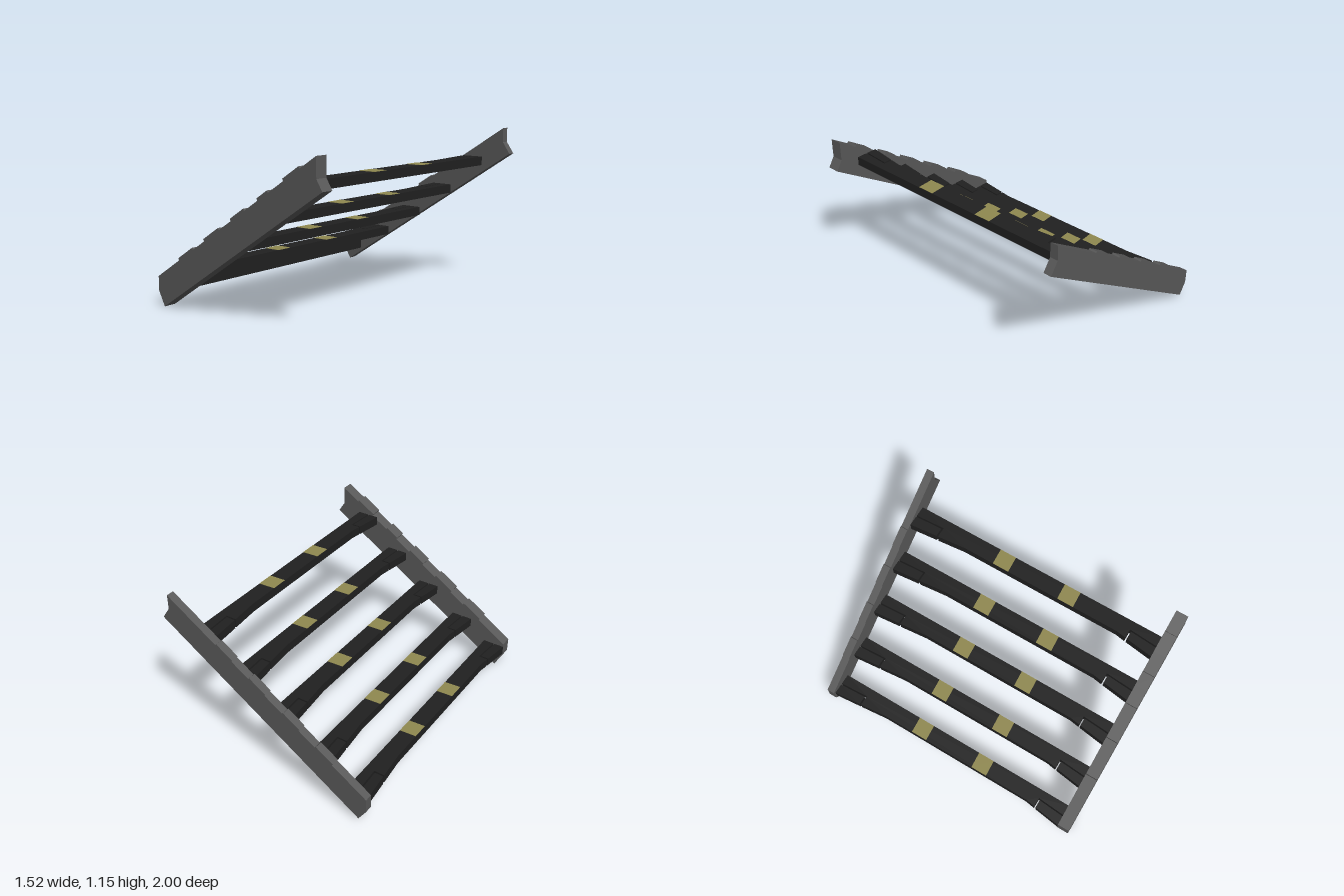
import * as THREE from 'three';

const material = (color) => new THREE.MeshStandardMaterial({ color, flatShading: true });

// Extrude an outline; flat = true lays an (x, z) plan down and extrudes it upwards
function prism(name, points, depth, mat, flat = false) {
  const shape = new THREE.Shape(points.map(([a, b]) => new THREE.Vector2(a, flat ? -b : b)));
  const geometry = new THREE.ExtrudeGeometry(shape, { depth, bevelEnabled: false });
  if (flat) geometry.rotateX(-Math.PI / 2);
  const mesh = new THREE.Mesh(geometry, mat);
  mesh.name = name;
  return mesh;
}

// Sloping side board whose top edge carries shallow raised steps
function sideBoard(name, start, end, lower, steps, rise, z, depth, mat) {
  const slope = (end[1] - start[1]) / (end[0] - start[0]);
  const topAt = (x) => start[1] + (x - start[0]) * slope;
  const points = [...lower, end];
  for (const [a, b] of [...steps].reverse()) {
    points.push([b + 0.008, topAt(b + 0.008)], [b, topAt(b) + rise]);
    points.push([a, topAt(a) + rise], [a + 0.008, topAt(a + 0.008)]);
  }
  points.push(start);
  const board = prism(name, points, depth, mat);
  board.position.z = z;
  return board;
}

export function createModel() {
  const model = new THREE.Group();
  const boardMat = material(0x585858);
  const treadMat = material(0x202020);
  const stripeMat = material(0x8f8850);

  // Side boards
  model.add(sideBoard('frontSideBoard', [-0.75, 0.2], [0.675, 1.1],
    [[-0.75, 0.1], [-0.695, 0], [0.72, 0.9], [0.675, 0.97]],
    [[-0.54, -0.4], [-0.29, -0.15], [-0.04, 0.08], [0.195, 0.285], [0.41, 0.54]],
    0.018, 0.915, 0.085, boardMat));
  model.add(sideBoard('backSideBoard', [-0.765, 0.2], [0.705, 1.15],
    [[-0.765, 0.1], [-0.71, 0.015], [0.76, 0.97], [0.705, 1.05]],
    [[-0.525, -0.4], [-0.28, -0.16], [-0.03, 0.09], [0.215, 0.335]],
    0.013, -1, 0.055, boardMat));

  // Treads: plan with flared ends and a narrow gap around each corner piece
  const height = 0.062;
  const treadPlan = [
    [0.117, -0.945], [0.117, 0.915], [0.04, 0.915], [0.056, 0.71], [-0.011, 0.71],
    [0, 0.64], [0, -0.53], [-0.02, -0.735], [0.054, -0.735], [0.042, -0.945],
  ];
  const corners = {
    backCorner: [[-0.04, -0.945], [0.032, -0.945], [0.042, -0.747], [-0.021, -0.747]],
    frontCorner: [[-0.013, 0.722], [0.045, 0.722], [0.03, 0.915], [-0.04, 0.915]],
  };

  const places = [[-0.71, 0.115], [-0.43, 0.263], [-0.13, 0.448], [0.152, 0.648], [0.417, 0.874]];
  places.forEach(([x, y], i) => {
    const tread = new THREE.Group();
    tread.name = `tread${i + 1}`;
    tread.add(prism('treadBody', treadPlan, height, treadMat, true));
    for (const [name, plan] of Object.entries(corners)) {
      tread.add(prism(name, plan, height, treadMat, true));
    }
    // Slightly slanted warning stripes on top
    for (const z of [-0.31, 0.19]) {
      const plan = [[0, z], [0, z + 0.12], [0.117, z + 0.113], [0.117, z - 0.007]];
      const stripe = prism('stripe', plan, 0.002, stripeMat, true);
      stripe.position.y = height;
      tread.add(stripe);
    }
    tread.position.set(x, y, 0);
    model.add(tread);
  });

  return model;
}
